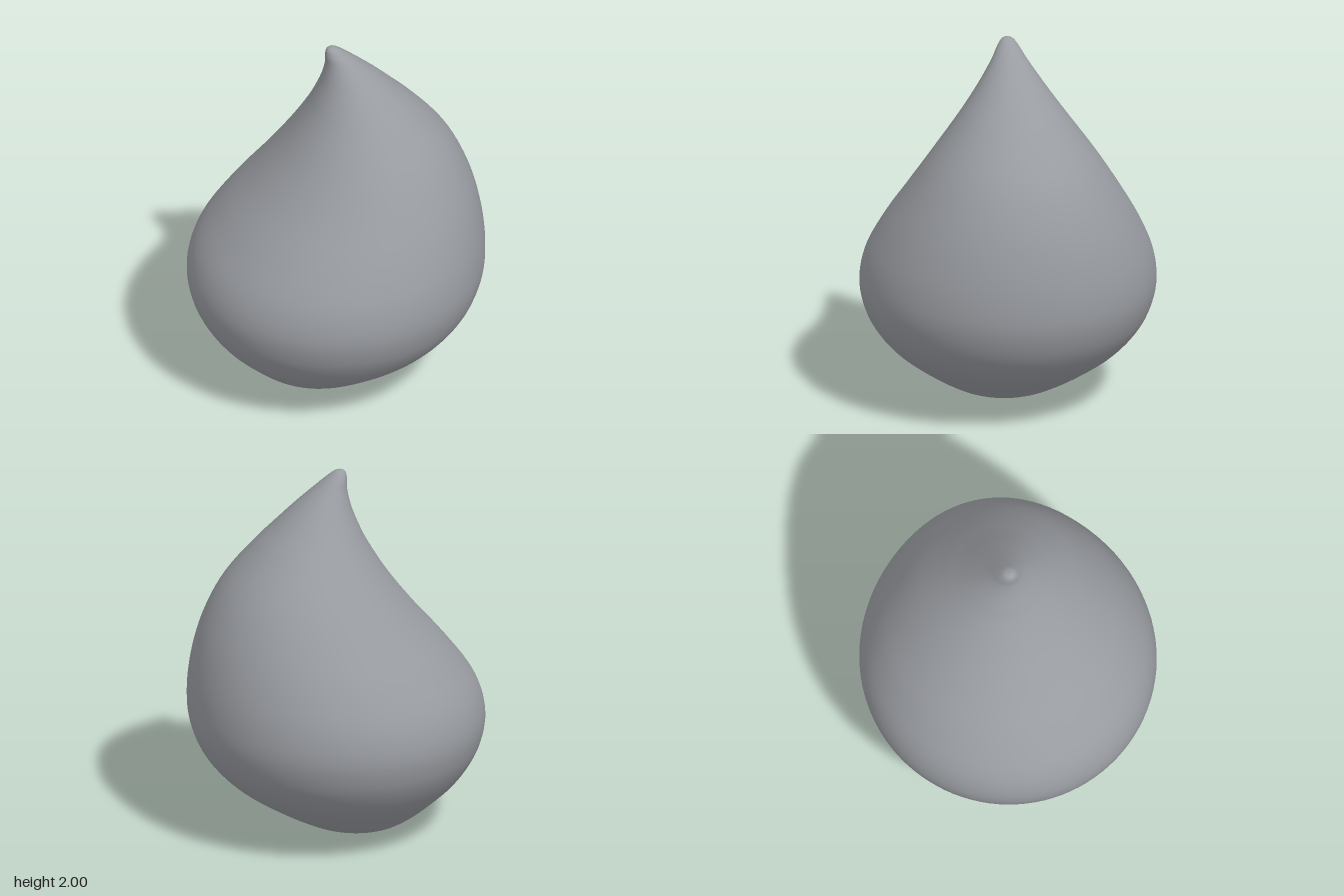
import * as THREE from 'three';
import { mergeVertices } from 'three/addons/utils/BufferGeometryUtils.js';

// Round sections of the drop, bottom to top: [height, radius, sideways shift]
const SECTIONS = [
  [0, 0, -0.14], [0.012, 0.11, -0.13], [0.04, 0.233, -0.112], [0.1, 0.342, -0.095],
  [0.2, 0.48, -0.067], [0.3, 0.598, -0.045], [0.4, 0.682, -0.03], [0.5, 0.737, -0.02],
  [0.64, 0.771, -0.007], [0.8, 0.754, 0.018], [1.0, 0.673, 0.075], [1.2, 0.562, 0.13],
  [1.4, 0.438, 0.155], [1.6, 0.296, 0.133], [1.7, 0.224, 0.107], [1.8, 0.155, 0.075],
  [1.9, 0.089, 0.03], [1.96, 0.053, -0.006], [1.99, 0.028, -0.022], [2, 0, -0.026],
];

export function createModel() {
  const group = new THREE.Group();
  group.name = 'teardrop';

  // Smooth curve through the sections: x = radius, y = height, z = shift
  const curve = new THREE.CatmullRomCurve3(
    SECTIONS.map(([y, r, shift]) => new THREE.Vector3(r, y, shift)), false, 'centripetal');
  const rings = curve.getPoints((SECTIONS.length - 1) * 5);

  // Turn the profile, then slide each ring sideways so the tip curls over
  let geometry = new THREE.LatheGeometry(
    rings.map((p) => new THREE.Vector2(Math.max(p.x, 0), p.y)), 96);
  const position = geometry.attributes.position;
  for (let i = 0; i < position.count; i++) {
    position.setX(i, position.getX(i) + rings[i % rings.length].z);
  }

  // Weld the seam and poles for smooth shading all round
  geometry.deleteAttribute('uv');
  geometry.deleteAttribute('normal');
  geometry = mergeVertices(geometry, 1e-5);
  geometry.computeVertexNormals();

  const drop = new THREE.Mesh(geometry, new THREE.MeshStandardMaterial({ color: 0x999ca1 }));
  drop.name = 'dropBody';
  group.add(drop);
  return group;
}
